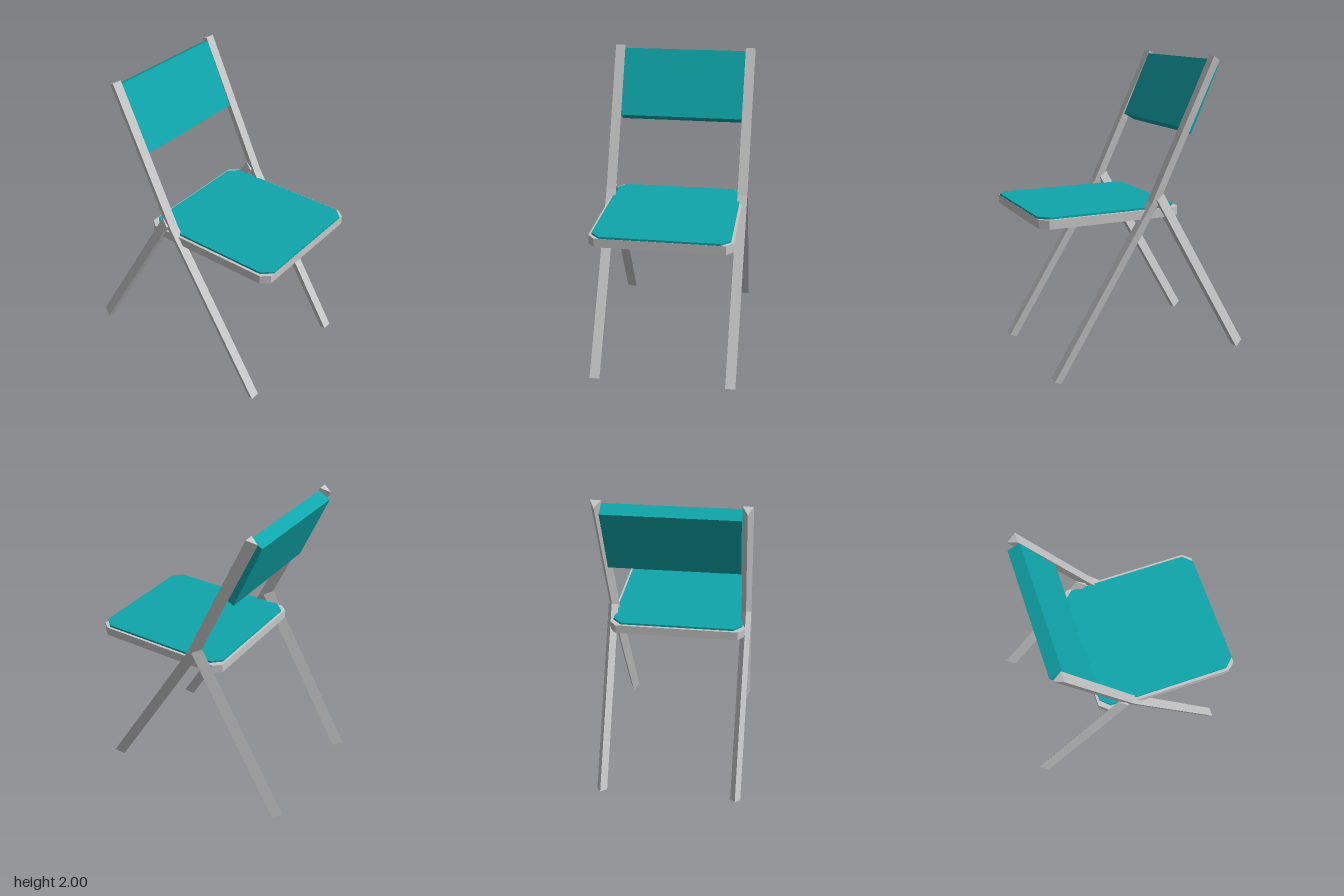
import * as THREE from 'three';

const LEG_X = 0.443, LEG_HALF = 0.033;

// Three-sided bar rising through sections [flatZ, flatY, ridgeZ, ridgeY]
function triangularBar(sections) {
  const pos = [], idx = [];
  for (const [fz, fy, rz, ry] of sections) {
    pos.push(LEG_HALF, fy, fz, 0, ry, rz, -LEG_HALF, fy, fz);
  }
  for (let s = 0; s < sections.length - 1; s++) {
    for (let i = 0; i < 3; i++) {
      const a = s * 3 + i, b = s * 3 + (i + 1) % 3;
      idx.push(a, b, b + 3, a, b + 3, a + 3);
    }
  }
  const t = (sections.length - 1) * 3;
  idx.push(0, 2, 1, t, t + 1, t + 2);
  const geo = new THREE.BufferGeometry();
  geo.setAttribute('position', new THREE.Float32BufferAttribute(pos, 3));
  geo.setIndex(idx);
  const flat = geo.toNonIndexed();
  flat.computeVertexNormals();
  return flat;
}

// Flat slab with cut corners, top at y = top
function chamferedSlab(halfX, back, front, cutX, cutZ, bottom, top) {
  const shape = new THREE.Shape([
    [halfX - cutX, back], [halfX, back + cutZ], [halfX, front - cutZ], [halfX - cutX, front],
    [cutX - halfX, front], [-halfX, front - cutZ], [-halfX, back + cutZ], [cutX - halfX, back],
  ].map(([x, z]) => new THREE.Vector2(x, z)));
  const geo = new THREE.ExtrudeGeometry(shape, { depth: top - bottom, bevelEnabled: false });
  geo.rotateX(Math.PI / 2);
  geo.translate(0, top, 0);
  return geo;
}

export function createModel() {
  const group = new THREE.Group();
  group.name = 'foldingChair';
  const metal = new THREE.MeshStandardMaterial({ color: 0xc6c6c6, flatShading: true });
  metal.name = 'greyMetal';
  const teal = new THREE.MeshStandardMaterial({ color: 0x0fa6ab, flatShading: true });
  teal.name = 'tealPadding';

  const add = (name, geo, mat, x = 0) => {
    const mesh = new THREE.Mesh(geo, mat);
    mesh.name = name;
    mesh.position.x = x;
    group.add(mesh);
  };

  // Legs: the front pair bends at the seat and rises to hold the backrest
  const frontLeg = triangularBar([
    [0.66, 0.034, 0.605, 0],
    [-0.003, 1.105, -0.063, 1.08],
    [-0.427, 2, -0.487, 1.972],
  ]);
  const backLeg = triangularBar([
    [-0.655, 0.045, -0.717, 0.075],
    [-0.042, 1.118, -0.103, 1.15],
  ]);
  for (const [side, s] of [['left', 1], ['right', -1]]) {
    add(side + 'FrontLegAndPost', frontLeg, metal, s * LEG_X);
    add(side + 'BackLeg', backLeg, metal, s * LEG_X);
  }

  // Seat
  add('seatFrame', chamferedSlab(0.443, -0.223, 0.717, 0.043, 0.052, 1, 1.057), metal);
  add('seatPad', chamferedSlab(0.425, -0.206, 0.716, 0.057, 0.06, 1.057, 1.07), teal);

  // Backrest: leaning panel extruded across the chair
  const profile = new THREE.Shape([
    [-0.231, 1.56], [-0.31, 1.515], [-0.498, 1.938], [-0.42, 1.98],
  ].map(([z, y]) => new THREE.Vector2(-z, y)));
  const panel = new THREE.ExtrudeGeometry(profile, { depth: 0.824, bevelEnabled: false });
  panel.rotateY(Math.PI / 2);
  panel.translate(-0.412, 0, 0);
  add('backrest', panel, teal);

  return group;
}
